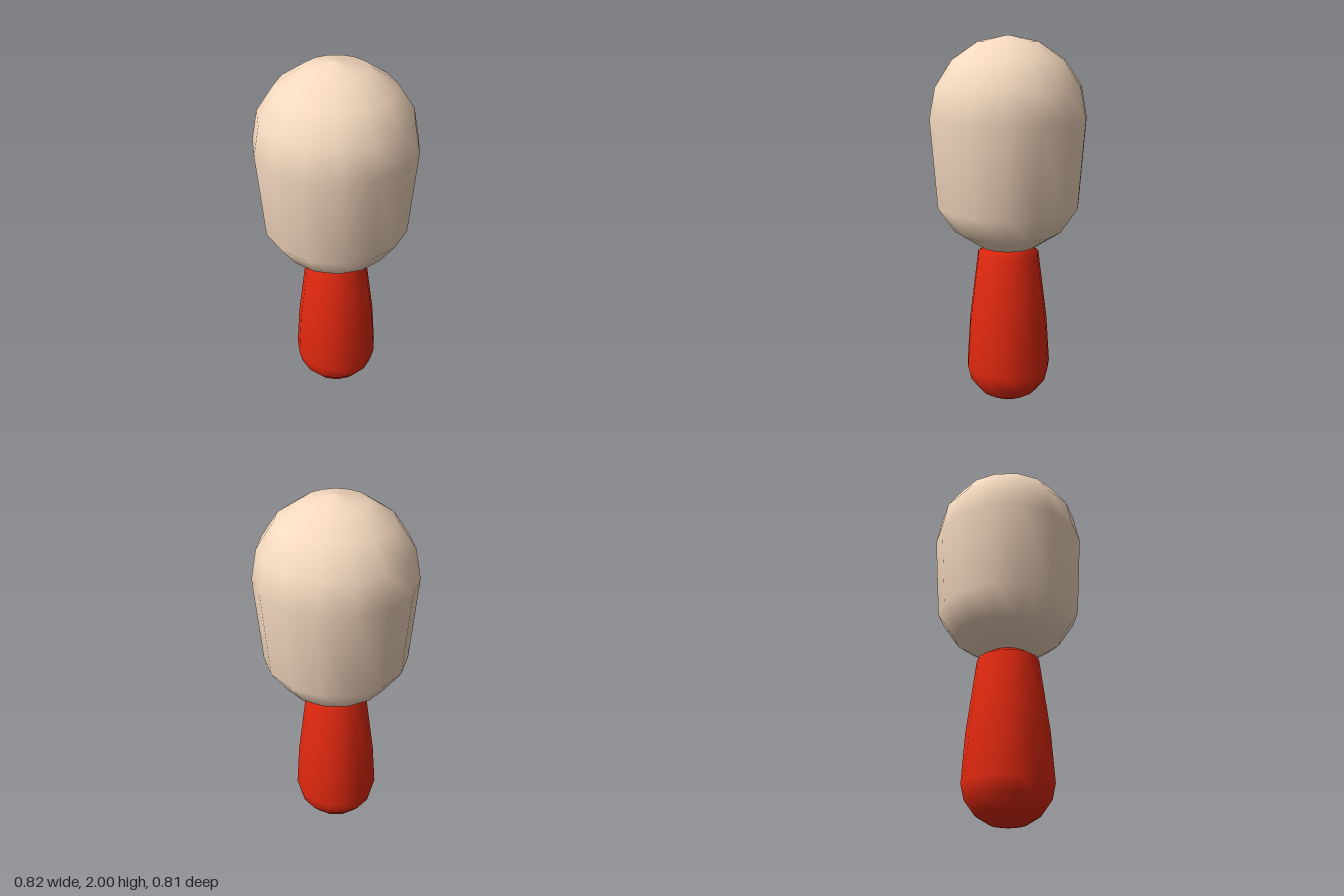
import * as THREE from 'three';

const SIDES = 15; // one corner points straight back
const RINGS = 8;

// Sphere-like lathe whose rings are shifted vertically by a rule: shift(ring) gives the offset
function stretchedBall(name, color, radius, halfHeight, centerY, shift) {
  const points = [];
  for (let i = 0; i <= RINGS; i++) {
    const a = (i / RINGS) * Math.PI; // from bottom pole to top pole
    const r = i === 0 || i === RINGS ? 0 : radius * Math.sin(a);
    points.push(new THREE.Vector2(r, centerY - halfHeight * Math.cos(a) + shift(i)));
  }
  const geometry = new THREE.LatheGeometry(points, SIDES, Math.PI);
  const mesh = new THREE.Mesh(geometry, new THREE.MeshStandardMaterial({ color }));
  mesh.name = name;
  return mesh;
}

export function createModel() {
  const model = new THREE.Group();
  model.name = 'figure';

  // Body: round foot, upper rings pulled up into a tapering neck
  model.add(stretchedBall('body', 0xe0280f, 0.234, 0.21, 0.21,
    (i) => (i <= 4 ? 0 : i === 5 ? 0.18 : 0.506)));

  // Head: round crown, lower rings pulled down below the widest ring
  model.add(stretchedBall('head', 0xf5d9bf, 0.412, 0.41, 1.59,
    (i) => (i < 4 ? -0.305 : 0)));

  return model;
}
